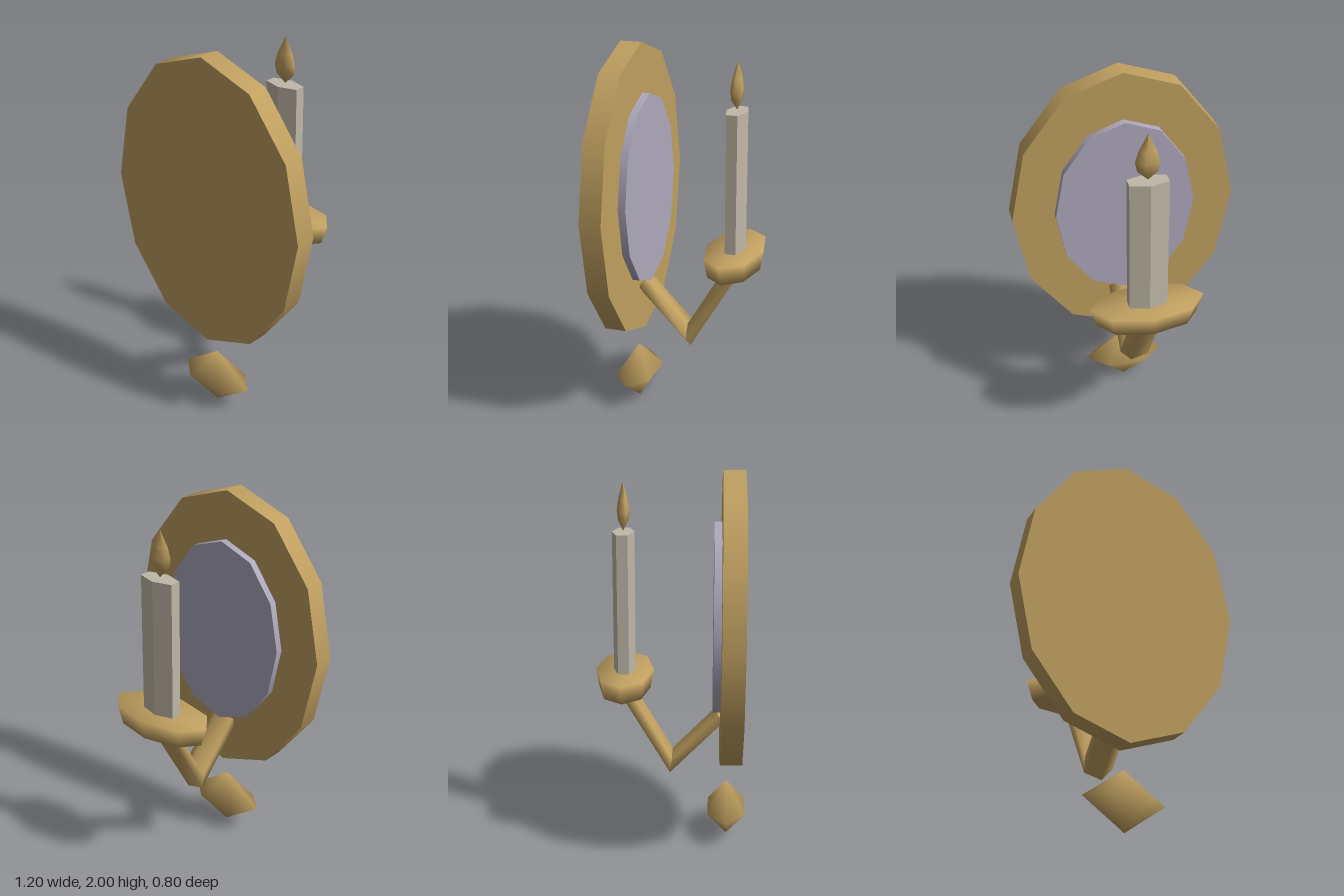
import * as THREE from 'three';

const brass = new THREE.MeshStandardMaterial({ color: 0xc0a060 });
brass.name = 'brass';
const wax = new THREE.MeshStandardMaterial({ color: 0xc0b8a8 });
wax.name = 'wax';
const glass = new THREE.MeshStandardMaterial({ color: 0xaea9bd });
glass.name = 'mirrorGlass';

// Upright oval disc whose thickness runs from z0 to z1
function ovalDisc(rx, ry, z0, z1) {
  const geometry = new THREE.CylinderGeometry(1, 1, 1, 12);
  geometry.rotateX(Math.PI / 2);
  geometry.scale(rx, ry, z1 - z0);
  geometry.translate(0, 0, (z0 + z1) / 2);
  return geometry;
}

// Turned shape, flattened front to back
function flatLathe(profile, sides, flatten, start = 0) {
  const points = profile.map(([r, y]) => new THREE.Vector2(r, y));
  const geometry = new THREE.LatheGeometry(points, sides, start);
  geometry.scale(1, 1, flatten);
  return geometry;
}

// Five-sided flattened bar along a path of [y, z] points, with mitred bends
function bentBar(path, halfWidth, halfDepth) {
  const sides = 5;
  const perps = path.slice(1).map(([y, z], i) => {
    const dy = y - path[i][0], dz = z - path[i][1], len = Math.hypot(dy, dz);
    return new THREE.Vector2(dz / len, -dy / len);
  });
  const rings = path.map(([y, z], i) => {
    const a = perps[Math.max(i - 1, 0)], b = perps[Math.min(i, perps.length - 1)];
    const miter = a.clone().add(b).normalize();
    miter.divideScalar(miter.dot(a));
    return Array.from({ length: sides }, (_, j) => {
      const t = (j / sides) * Math.PI * 2, s = halfDepth * Math.sin(t);
      return [halfWidth * Math.cos(t), y + s * miter.x, z + s * miter.y];
    });
  });
  const positions = [], indices = [];
  const addRing = (ring) => {
    const base = positions.length / 3;
    ring.forEach((p) => positions.push(...p));
    return base;
  };
  // Each leg has its own rings so the bend stays crisp
  for (let i = 0; i < rings.length - 1; i++) {
    const a = addRing(rings[i]), b = addRing(rings[i + 1]);
    for (let j = 0; j < sides; j++) {
      const k = (j + 1) % sides;
      indices.push(a + j, a + k, b + k, a + j, b + k, b + j);
    }
  }
  // End caps
  const first = addRing(rings[0]), last = addRing(rings[rings.length - 1]);
  for (let j = 1; j < sides - 1; j++) {
    indices.push(first, first + j + 1, first + j, last, last + j, last + j + 1);
  }
  const geometry = new THREE.BufferGeometry();
  geometry.setAttribute('position', new THREE.Float32BufferAttribute(positions, 3));
  geometry.setIndex(indices);
  geometry.computeVertexNormals();
  return geometry;
}

export function createModel() {
  const group = new THREE.Group();
  const add = (name, geometry, material, y = 0, z = 0) => {
    const mesh = new THREE.Mesh(geometry, material);
    mesh.name = name;
    mesh.position.set(0, y, z);
    group.add(mesh);
  };

  // Oval plate and the mirror set on it
  add('backplate', ovalDisc(0.6, 0.787, 0.26, 0.375), brass, 1.213);
  add('mirror', ovalDisc(0.375, 0.515, 0.22, 0.262), glass, 1.225);

  // Bent arm from the plate to the dish
  add('arm', bentBar([[0.7, 0.265], [0.427, 0], [0.83, -0.237]], 0.087, 0.041), brass);

  // Drip dish
  const dish = [[0, 0], [0.265, 0], [0.3, 0.105], [0, 0.105]];
  add('dripDish', flatLathe(dish, 8, 0.51), brass, 0.845, -0.245);

  // Six-sided candle with flat faces
  const candle = new THREE.CylinderGeometry(0.115, 0.115, 0.745, 6).toNonIndexed();
  candle.scale(1, 1, 0.5);
  candle.computeVertexNormals();
  add('candle', candle, wax, 1.3125, -0.245);

  // Flame
  const flame = [[0, 0], [0.054, 0.05], [0.065, 0.1], [0.048, 0.16], [0, 0.25]];
  add('flame', flatLathe(flame, 5, 0.53, Math.PI / 2), brass, 1.69, -0.245);

  // Hanging pendant drop
  const pendant = new THREE.SphereGeometry(1, 6, 2);
  pendant.scale(0.22, 0.157, 0.115);
  add('pendant', pendant, brass, 0.157, 0.3);

  return group;
}
